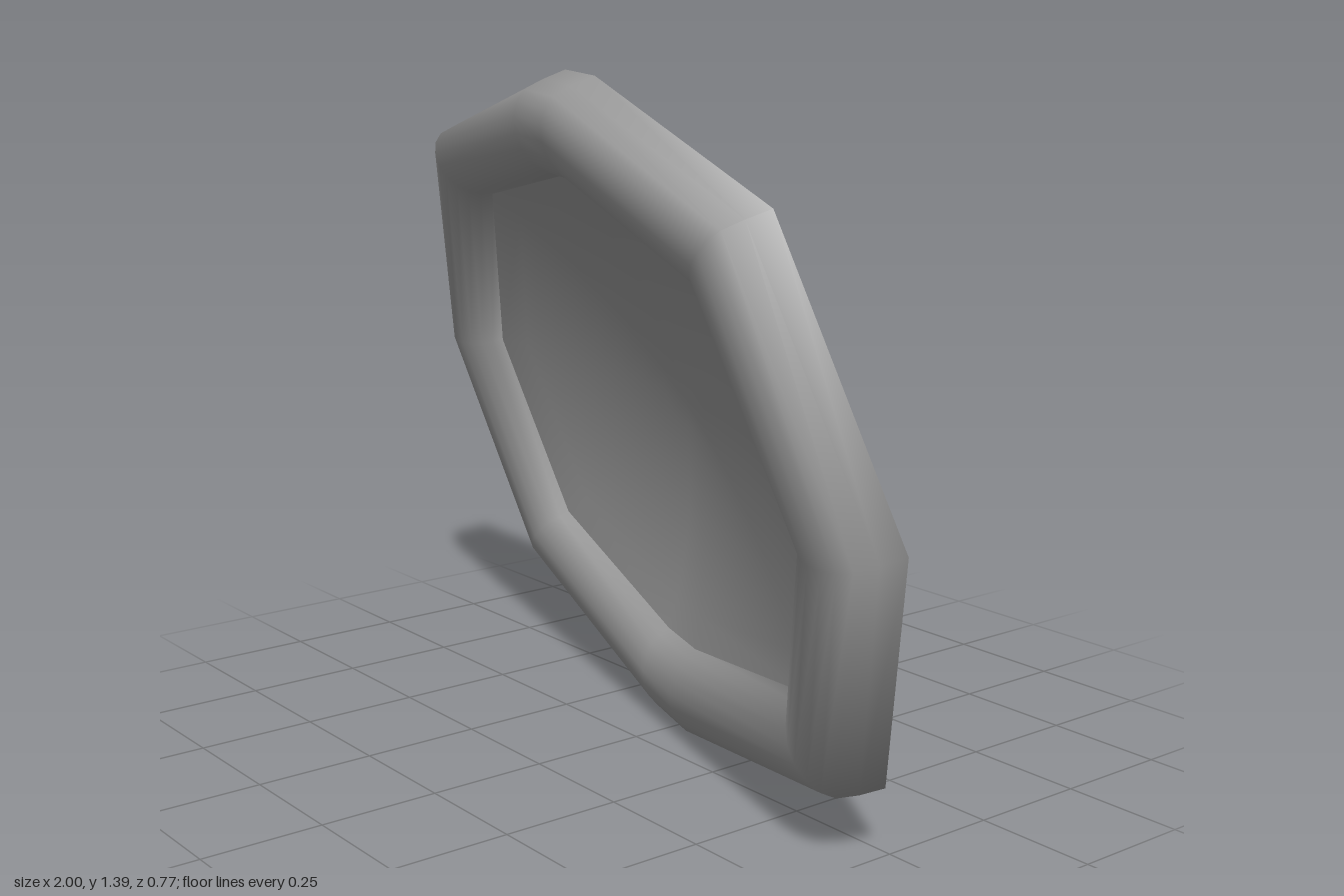
import * as THREE from 'three';
import { mergeVertices } from 'three/addons/utils/BufferGeometryUtils.js';

const material = new THREE.MeshStandardMaterial({ color: 0x969696, side: THREE.DoubleSide });

// Mirror one quarter (right corner, diagonal corner, blunt top) into a closed loop
function outline([right, diagonal, blunt]) {
  const flip = (list, sx, sy) => list.map(([x, y]) => [x * sx, y * sy]);
  const pts = [
    right, diagonal, blunt,
    ...flip([blunt, diagonal, right], -1, 1),
    ...flip([diagonal, blunt], -1, -1),
    ...flip([blunt, diagonal], 1, -1),
  ];
  return pts.map(([x, y]) => new THREE.Vector2(x, y));
}

// A loop shrunk by s, with each point's height given by a rule
function ring(loop, s, height) {
  return loop.map((p) => new THREE.Vector3(p.x * s, p.y * s, height(s, p.length() * s)));
}

// Shrinking rings from the edge of a loop to its centre
function bowlRings(loop, height, steps = 8) {
  return Array.from({ length: steps + 1 }, (_, i) => ring(loop, 1 - i / steps, height));
}

// Skin a sequence of closed rings, smooth shaded
function loft(name, rings) {
  const n = rings[0].length;
  const index = [];
  for (let i = 0; i < rings.length - 1; i++) {
    for (let j = 0; j < n; j++) {
      const a = i * n + j, b = i * n + (j + 1) % n;
      index.push(a, b, a + n, b, b + n, a + n);
    }
  }
  let geometry = new THREE.BufferGeometry().setFromPoints(rings.flat());
  geometry.setIndex(index);
  geometry = mergeVertices(geometry, 1e-5);
  geometry.computeVertexNormals();
  const mesh = new THREE.Mesh(geometry, material);
  mesh.name = name;
  return mesh;
}

export function createModel() {
  const group = new THREE.Group();
  group.name = 'tiltedDish';

  const outer = outline([[1.036, 0], [0.777, 0.543], [0.08, 0.708]]);
  const inner = outline([[0.82, 0], [0.614, 0.394], [0.07, 0.508]]);

  // Rounded rim: [share of the way inward, height]
  const profile = [
    [0, 0], [0.03, 0.05], [0.08, 0.092], [0.17, 0.113], [0.3, 0.126], [0.47, 0.132],
    [0.63, 0.128], [0.78, 0.115], [0.89, 0.096], [0.96, 0.073], [1, 0.05],
  ];
  const rim = loft('rim', profile.map(([t, z]) => outer.map((p, i) => {
    const q = p.clone().lerp(inner[i], t);
    return new THREE.Vector3(q.x, q.y, z);
  })));

  // Back shell: a sloping border, then a shallow dome
  const dome = (s, r) => 0.098 * r * r - 0.12;
  const back = loft('backShell', [ring(outer, 1, () => 0), ...bowlRings(inner, dome)].reverse());

  // Hollow floor inside the rim
  const floor = loft('innerFloor', bowlRings(inner, (s) => 0.05 - 0.12 * (1 - s * s)));

  // Lean the whole dish back-to-front and turn it slightly
  const dish = new THREE.Group();
  dish.name = 'dish';
  dish.add(rim, back, floor);
  const u = new THREE.Vector3(0.963, -0.04, 0.266).normalize();
  const n = u.clone().cross(new THREE.Vector3(-0.018, 0.969, 0.244)).normalize();
  const v = n.clone().cross(u);
  dish.quaternion.setFromRotationMatrix(new THREE.Matrix4().makeBasis(u, v, n));
  dish.position.set(0, 0.695, -0.047);
  group.add(dish);
  return group;
}
